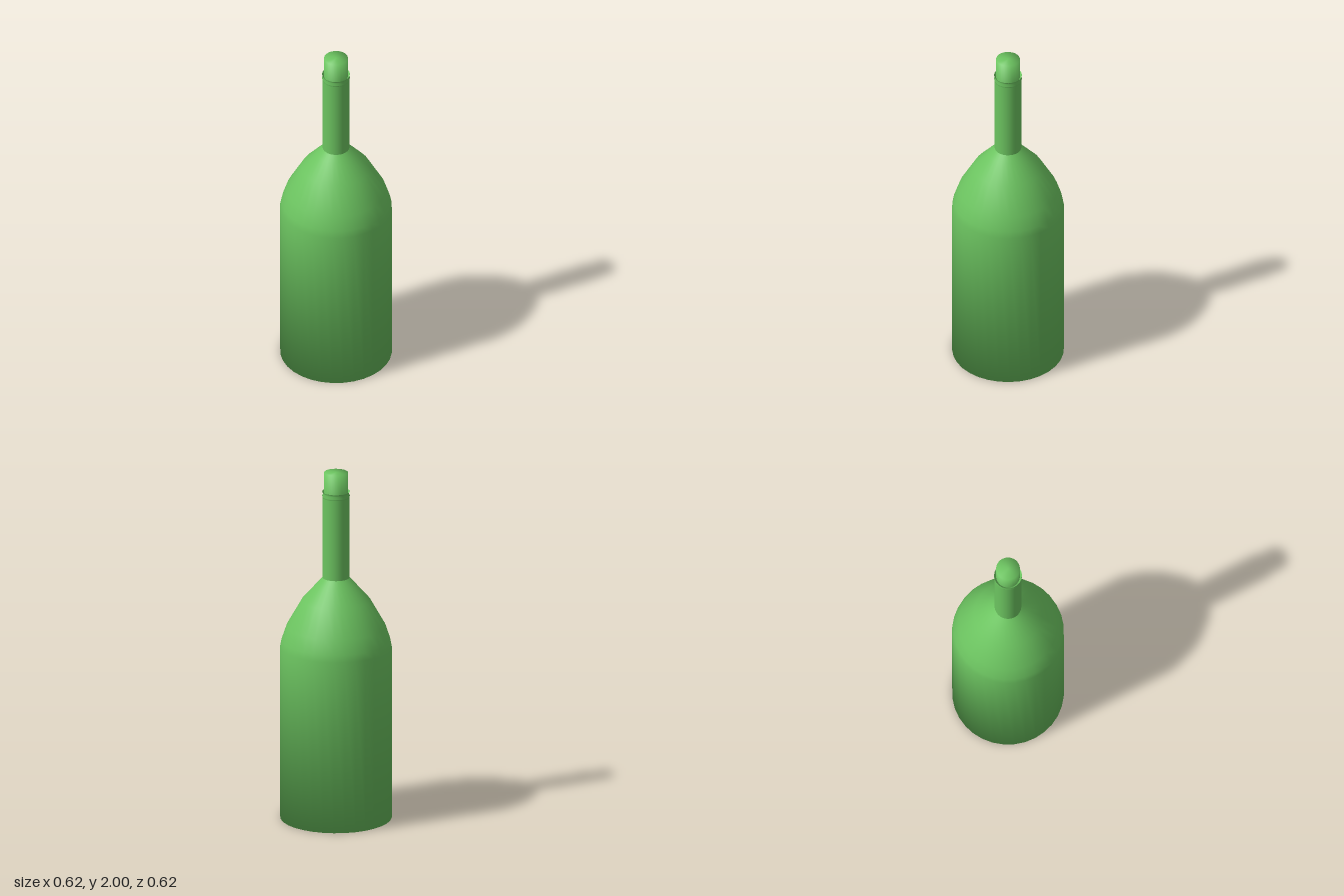
import * as THREE from 'three';

const SIDES = 32;
const material = new THREE.MeshStandardMaterial({ color: 0x6cc460, side: THREE.DoubleSide });

// Turned part whose ring normals are the even average of the two adjoining slopes,
// so that the shading runs softly over every edge.
function turned(name, profile) {
  const points = profile.map(([r, y]) => new THREE.Vector2(r, y));
  const geometry = new THREE.LatheGeometry(points, SIDES);
  const slopes = points.slice(1).map((p, i) => {
    const d = p.clone().sub(points[i]).normalize();
    return new THREE.Vector2(d.y, -d.x);
  });
  const normal = geometry.attributes.normal;
  const count = points.length;
  for (let i = 0; i <= SIDES; i++) {
    const angle = (i / SIDES) * Math.PI * 2;
    for (let j = 0; j < count; j++) {
      const n = slopes[Math.max(j - 1, 0)].clone().add(slopes[Math.min(j, count - 2)]).normalize();
      normal.setXYZ(i * count + j, n.x * Math.sin(angle), n.y, n.x * Math.cos(angle));
    }
  }
  const mesh = new THREE.Mesh(geometry, material);
  mesh.name = name;
  return mesh;
}

export function createModel() {
  const bottle = new THREE.Group();
  bottle.name = 'bottle';

  // Flat base, straight wall and rounded shoulder
  bottle.add(turned('body', [
    [0, 0], [0.31, 0], [0.31, 0.99], [0.302, 1.03], [0.275, 1.11],
    [0.19, 1.26], [0.106, 1.355], [0.074, 1.39],
  ]));

  // Straight neck
  bottle.add(turned('neck', [[0.074, 1.39], [0.074, 1.855]]));

  // Grooved lip that dips inward to the stopper
  bottle.add(turned('lip', [
    [0.074, 1.855], [0.077, 1.865], [0.071, 1.877], [0.077, 1.89],
  ]));
  bottle.add(turned('lipInside', [[0.077, 1.89], [0.066, 1.875]]));

  // Stopper, set into the neck
  bottle.add(turned('stopper', [[0.066, 1.84], [0.066, 2], [0, 2]]));

  return bottle;
}
